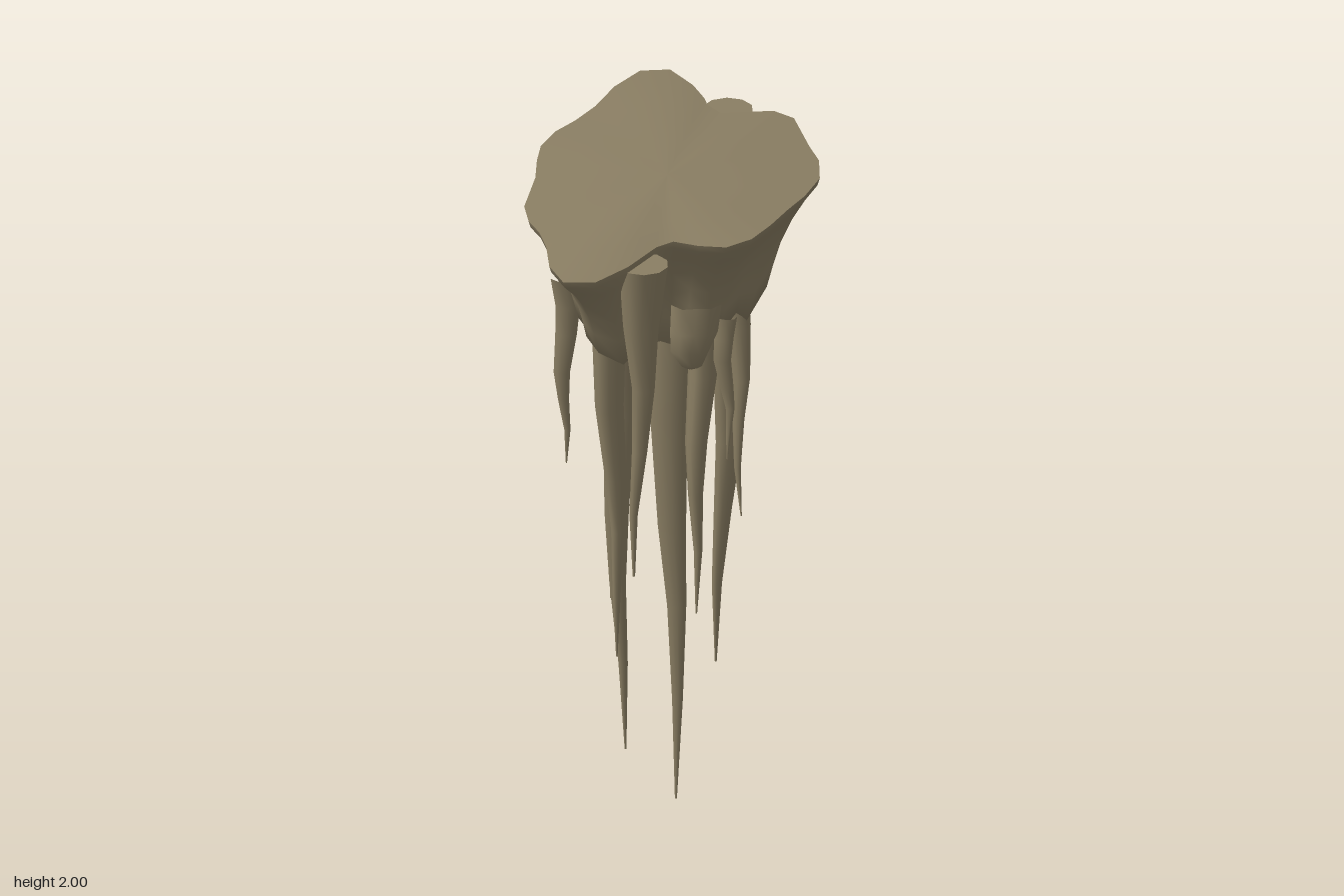
import * as THREE from 'three';

const stone = new THREE.MeshStandardMaterial({ color: 0x8a7e63 });
stone.name = 'brown stone';

// Ceiling outline, as x, z pairs, clockwise seen from above
const OUTLINE = [
  [-0.19, -0.71], [-0.1, -0.63], [-0.045, -0.555], [-0.026, -0.517], [0.026, -0.475], [0.1, -0.505],
  [0.166, -0.53], [0.234, -0.5], [0.325, -0.336], [0.377, -0.253], [0.41, -0.143], [0.4, -0.02],
  [0.377, 0.08], [0.357, 0.19], [0.33, 0.29], [0.275, 0.362], [0.196, 0.374], [0.12, 0.366],
  [0.083, 0.415], [0.04, 0.56], [-0.023, 0.683], [-0.11, 0.706], [-0.177, 0.615], [-0.22, 0.494],
  [-0.264, 0.41], [-0.313, 0.347], [-0.35, 0.26], [-0.37, 0.07], [-0.396, -0.04], [-0.41, -0.13],
  [-0.396, -0.234], [-0.36, -0.32], [-0.33, -0.426], [-0.313, -0.56], [-0.27, -0.68],
];

// Smooth surface through equal-length closed rings, listed from top to bottom
function loft(name, rings) {
  const n = rings[0].length;
  const index = [];
  for (let i = 0; i < rings.length - 1; i++) {
    for (let j = 0; j < n; j++) {
      const a = i * n + j, b = i * n + (j + 1) % n;
      index.push(a, b, a + n, b, b + n, a + n);
    }
  }
  const geo = new THREE.BufferGeometry();
  geo.setAttribute('position', new THREE.Float32BufferAttribute(rings.flat(2), 3));
  geo.setIndex(index);
  geo.computeVertexNormals();
  const mesh = new THREE.Mesh(geo, stone);
  mesh.name = name;
  return mesh;
}

// Outline scaled about the centre; jag makes the edge fluted and ragged
const slab = (scale, y, jag = 0) => OUTLINE.map(([x, z], j) => {
  const w = Math.sin(j * 2.1) * 0.6 + Math.sin(j * 0.9 + 1) * 0.4;
  const s = scale * (1 + jag * 0.8 * w);
  return [x * s, y + jag * 0.5 * w, z * s];
});

// Ring of points; wobble makes it lobed
const circle = (x, y, z, r, wobble = 0, seed = 0) => Array.from({ length: 10 }, (_, j) => {
  const a = (j / 10) * Math.PI * 2;
  const q = r * (1 + wobble * Math.sin(3 * a + seed));
  return [x + q * Math.cos(a), y, z + q * Math.sin(a)];
});

// Radius factors by height, from top (1) to tip (0)
const HANGING = [[1, 1.25], [0.85, 1.02], [0.7, 0.9], [0.5, 0.68], [0.35, 0.46], [0.18, 0.26], [0, 0.05]];
const FLARED = [[1, 1], [0.8, 0.72], [0.6, 0.46], [0.4, 0.31], [0.2, 0.17], [0, 0.05]];
const BLUNT = [[1, 1], [0.6, 0.95], [0.3, 0.75], [0.05, 0.4], [0, 0.1]];

// Tapering spike from top point to tip, with a slightly crooked axis
function spike(name, top, tip, radius, profile, wobble, seed) {
  const rings = profile.map(([t, f]) => {
    const bend = 0.01 * Math.sin(t * 7 + seed * 2) * t * (1 - t) * 4;
    const [x, y, z] = top.map((v, k) => tip[k] + (v - tip[k]) * t);
    return circle(x + bend, y, z - bend, radius * f, wobble, seed);
  });
  rings.push(circle(...tip, 0));
  return loft(name, rings);
}

export function createModel() {
  const group = new THREE.Group();
  group.name = 'stalactiteCluster';

  // Gently domed top
  group.add(loft('ceilingTop', [
    slab(0, 2), slab(0.35, 1.997), slab(0.7, 1.987), slab(1, 1.975),
  ]));

  // Flared rock skirt with a ragged lower edge
  group.add(loft('rockSkirt', [
    slab(1, 1.975), slab(0.985, 1.953), slab(0.9, 1.905), slab(0.815, 1.845, 0.02),
    slab(0.735, 1.77, 0.05), slab(0.685, 1.7, 0.08), slab(0.635, 1.62, 0.12),
    slab(0.5, 1.64, 0.06), slab(0, 1.66),
  ]));

  // Hanging spikes: top x, y, z, tip x, y, z, radius
  [
    [0.0, 1.75, -0.05, 0.01, 0.005, -0.055, 0.059],
    [-0.12, 1.75, 0.14, -0.09, 0.23, 0.12, 0.049],
    [0.12, 1.75, -0.26, 0.07, 0.35, -0.26, 0.056],
    [-0.17, 1.75, -0.14, -0.2, 0.58, -0.12, 0.047],
    [0.13, 1.75, 0.08, 0.105, 0.66, 0.07, 0.045],
    [0.17, 1.75, -0.11, 0.19, 0.9, -0.1, 0.037],
    [0.228, 1.68, 0.2, 0.235, 1.23, 0.21, 0.028],
    [-0.272, 1.69, 0.1, -0.27, 1.1, 0.1, 0.033],
    [-0.12, 1.76, -0.42, -0.11, 0.74, -0.41, 0.047],
    [-0.08, 1.75, 0.33, -0.06, 0.62, 0.32, 0.047],
  ].forEach(([a, b, c, d, e, f, r], i) => {
    group.add(spike('hangingSpike' + (i + 1), [a, b, c], [d, e, f], r, HANGING, 0.12, i));
  });

  // Two free-standing spikes beside the skirt, with flat tops
  [
    ['frontSpike', [0.065, 1.955, 0.49], [0.035, 0.96, 0.48], 2],
    ['backSpike', [0.026, 1.955, -0.547], [0.03, 1.06, -0.54], 5],
  ].forEach(([name, top, tip, seed]) => {
    group.add(spike(name, top, tip, 0.073, FLARED, 0, seed));
    group.add(loft(name + 'Top', [circle(...top, 0), circle(...top, 0.073)]));
  });

  // Short stubs around the underside
  for (let i = 0; i < 6; i++) {
    const a = i * 1.05 + 0.4;
    const x = 0.17 * Math.cos(a), z = 0.3 * Math.sin(a);
    group.add(spike('stub' + (i + 1), [x, 1.72, z], [x, 1.54 - 0.03 * (i % 3), z], 0.045, FLARED, 0.12, i));
  }

  // Blunt lump of rock under the front edge
  group.add(spike('rockLump', [0.15, 1.73, 0.235], [0.14, 1.525, 0.255], 0.065, BLUNT, 0.2, 1));

  return group;
}
